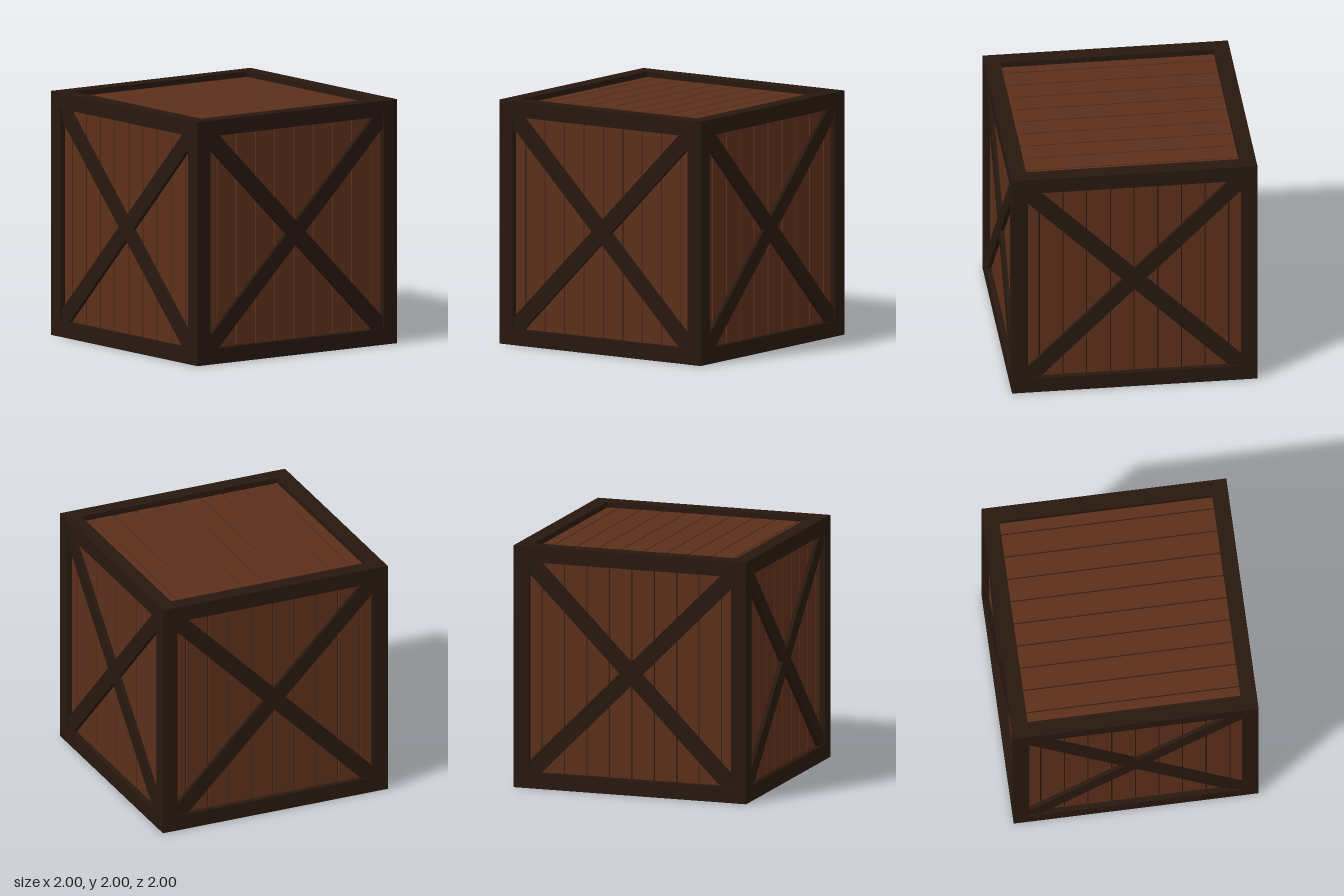
import * as THREE from 'three';

const HALF = 1;        // half the crate's side
const BAR = 0.13;      // frame bar thickness
const OPEN = HALF - BAR; // half of each framed opening
const PANEL = 0.955;   // distance of the panel surface from the centre
const PITCH = 0.193;   // plank spacing
const GAP = 0.011;     // groove between planks

const darkWood = new THREE.MeshStandardMaterial({ color: 0x27180f });
const plankWood = new THREE.MeshStandardMaterial({ color: 0x5c2f1a });

function box(name, w, h, d, x, y, z, material) {
  const mesh = new THREE.Mesh(new THREE.BoxGeometry(w, h, d), material);
  mesh.name = name;
  mesh.position.set(x, y, z);
  return mesh;
}

// Ten upright planks facing +z
function makePlanks() {
  const planks = new THREE.Group();
  planks.name = 'plankPanel';
  for (let i = 0; i < 10; i++) {
    planks.add(box('plank', PITCH - GAP, 1.8, 0.02, (i - 4.5) * PITCH, 0, PANEL - 0.01, plankWood));
  }
  return planks;
}

// Diagonal cross trimmed to the opening; one quarter of the outline is turned four times
function makeCrossBrace() {
  const h = OPEN, c = 0.095;
  const quarter = [[h, h], [h - c, h], [0, c], [c - h, h]];
  const points = [];
  for (let turn = 0; turn < 4; turn++) {
    for (const [x, y] of quarter) {
      points.push(new THREE.Vector2(x, y).rotateAround(new THREE.Vector2(), turn * Math.PI / 2));
    }
  }
  const front = HALF - 0.012;
  const geometry = new THREE.ExtrudeGeometry(new THREE.Shape(points), {
    depth: front - PANEL + 0.01, bevelEnabled: false,
  });
  geometry.translate(0, 0, PANEL - 0.01);
  const brace = new THREE.Mesh(geometry, darkWood);
  brace.name = 'crossBrace';
  return brace;
}

export function createModel() {
  const crate = new THREE.Group();
  crate.name = 'crate';
  const body = new THREE.Group();
  body.name = 'body';
  body.position.y = HALF;
  crate.add(body);

  // Dark core showing through the grooves
  const core = 2 * (PANEL - 0.014);
  body.add(box('core', core, core, core, 0, 0, 0, darkWood));

  // Frame: four posts with rails fitted between them
  const frame = new THREE.Group();
  frame.name = 'frame';
  const e = HALF - BAR / 2;
  for (const a of [-e, e]) {
    for (const b of [-e, e]) {
      frame.add(box('cornerPost', BAR, 2 * HALF, BAR, a, 0, b, darkWood));
      frame.add(box('crossRail', 2 * OPEN, BAR, BAR, 0, a, b, darkWood));
      frame.add(box('sideRail', BAR, BAR, 2 * OPEN, a, b, 0, darkWood));
    }
  }
  body.add(frame);

  // Four braced sides
  ['front', 'left', 'back', 'right'].forEach((name, i) => {
    const side = new THREE.Group();
    side.name = name + 'Side';
    side.add(makePlanks(), makeCrossBrace());
    side.rotation.y = i * Math.PI / 2;
    body.add(side);
  });

  // Lid and floor with planks running across
  for (const [name, s] of [['lid', -1], ['floor', 1]]) {
    const panel = makePlanks();
    panel.name = name;
    panel.rotation.set(s * Math.PI / 2, 0, Math.PI / 2);
    body.add(panel);
  }
  return crate;
}
